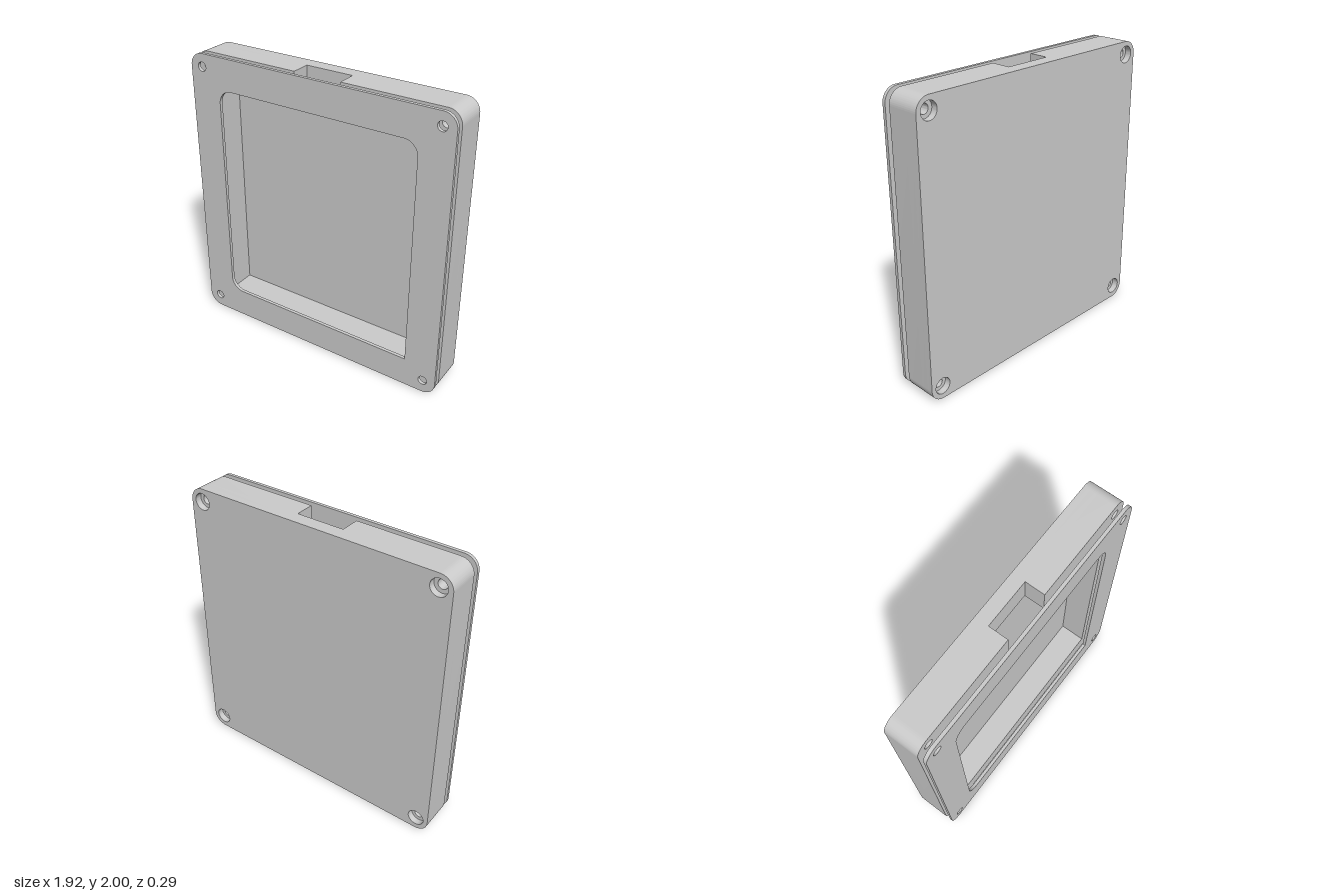
import * as THREE from 'three';
import { toCreasedNormals } from 'three/addons/utils/BufferGeometryUtils.js';

const HALF_W = 0.96, HEIGHT = 2, CORNER = 0.093;
const material = new THREE.MeshStandardMaterial({ color: 0xcccccc });

// Rectangle with a rounding radius per corner, drawn counter-clockwise
function roundedRect(path, x0, y0, x1, y1, [bl, br, tr, tl]) {
  path.moveTo(x0 + bl, y0);
  path.lineTo(x1 - br, y0);
  if (br) path.absarc(x1 - br, y0 + br, br, -Math.PI / 2, 0);
  path.lineTo(x1, y1 - tr);
  if (tr) path.absarc(x1 - tr, y1 - tr, tr, 0, Math.PI / 2);
  path.lineTo(x0 + tl, y1);
  if (tl) path.absarc(x0 + tl, y1 - tl, tl, Math.PI / 2, Math.PI);
  path.lineTo(x0, y0 + bl);
  if (bl) path.absarc(x0 + bl, y0 + bl, bl, Math.PI, Math.PI * 1.5);
  return path;
}

const outline = () =>
  roundedRect(new THREE.Shape(), -HALF_W, 0, HALF_W, HEIGHT, [CORNER, CORNER, CORNER, CORNER]);

// Four screw holes near the corners
function addScrewHoles(shape, radius) {
  for (const x of [-0.87, 0.87]) {
    for (const y of [0.094, 1.91]) {
      shape.holes.push(new THREE.Path().absarc(x, y, radius, 0, Math.PI * 2, true));
    }
  }
  return shape;
}

// Flat layer between two depths
function layer(name, shape, zBack, zFront) {
  const geometry = new THREE.ExtrudeGeometry(shape, {
    depth: zFront - zBack, bevelEnabled: false, curveSegments: 20,
  });
  geometry.translate(0, 0, zBack);
  const mesh = new THREE.Mesh(toCreasedNormals(geometry, 0.5), material);
  mesh.name = name;
  return mesh;
}

export function createModel() {
  const model = new THREE.Group();
  model.name = 'displayCase';
  const body = new THREE.Group();
  body.name = 'body';
  model.add(body);

  const HOLE = 0.032, BORE = 0.058;
  const Z_BACK = -0.145, Z_FLOOR = -0.1, Z_NOTCH = -0.05, Z_RIM = 0.085;
  const cx = 0.775, cy0 = 0.17, cy1 = 1.82;

  // Back panel with counterbored screw seats
  body.add(layer('backPanel', addScrewHoles(outline(), BORE), Z_BACK, Z_FLOOR));

  // Closed part of the wall around the cavity
  const wall = addScrewHoles(outline(), HOLE);
  wall.holes.push(roundedRect(new THREE.Path(), -cx, cy0, cx, cy1, [0, 0, 0, 0]));
  body.add(layer('lowerWall', wall, Z_FLOOR, Z_NOTCH));

  // Front part of the wall, open at the top for the connector notch
  const n0 = -0.17, n1 = 0.165, r = CORNER;
  const rim = new THREE.Shape();
  rim.moveTo(n0, HEIGHT);
  rim.lineTo(-HALF_W + r, HEIGHT);
  rim.absarc(-HALF_W + r, HEIGHT - r, r, Math.PI / 2, Math.PI);
  rim.absarc(-HALF_W + r, r, r, Math.PI, Math.PI * 1.5);
  rim.absarc(HALF_W - r, r, r, -Math.PI / 2, 0);
  rim.absarc(HALF_W - r, HEIGHT - r, r, 0, Math.PI / 2);
  rim.lineTo(n1, HEIGHT);
  for (const [x, y] of [[n1, cy1], [cx, cy1], [cx, cy0], [-cx, cy0], [-cx, cy1], [n0, cy1]]) {
    rim.lineTo(x, y);
  }
  rim.closePath();
  body.add(layer('notchedWall', addScrewHoles(rim, HOLE), Z_NOTCH, Z_RIM));

  // Thin front cover floating ahead of the body; one window corner is square
  const cover = addScrewHoles(outline(), HOLE);
  cover.holes.push(roundedRect(new THREE.Path(), -0.735, 0.21, 0.73, 1.78, [0.095, 0, 0.095, 0.095]));
  model.add(layer('frontCover', cover, 0.122, 0.145));

  return model;
}
